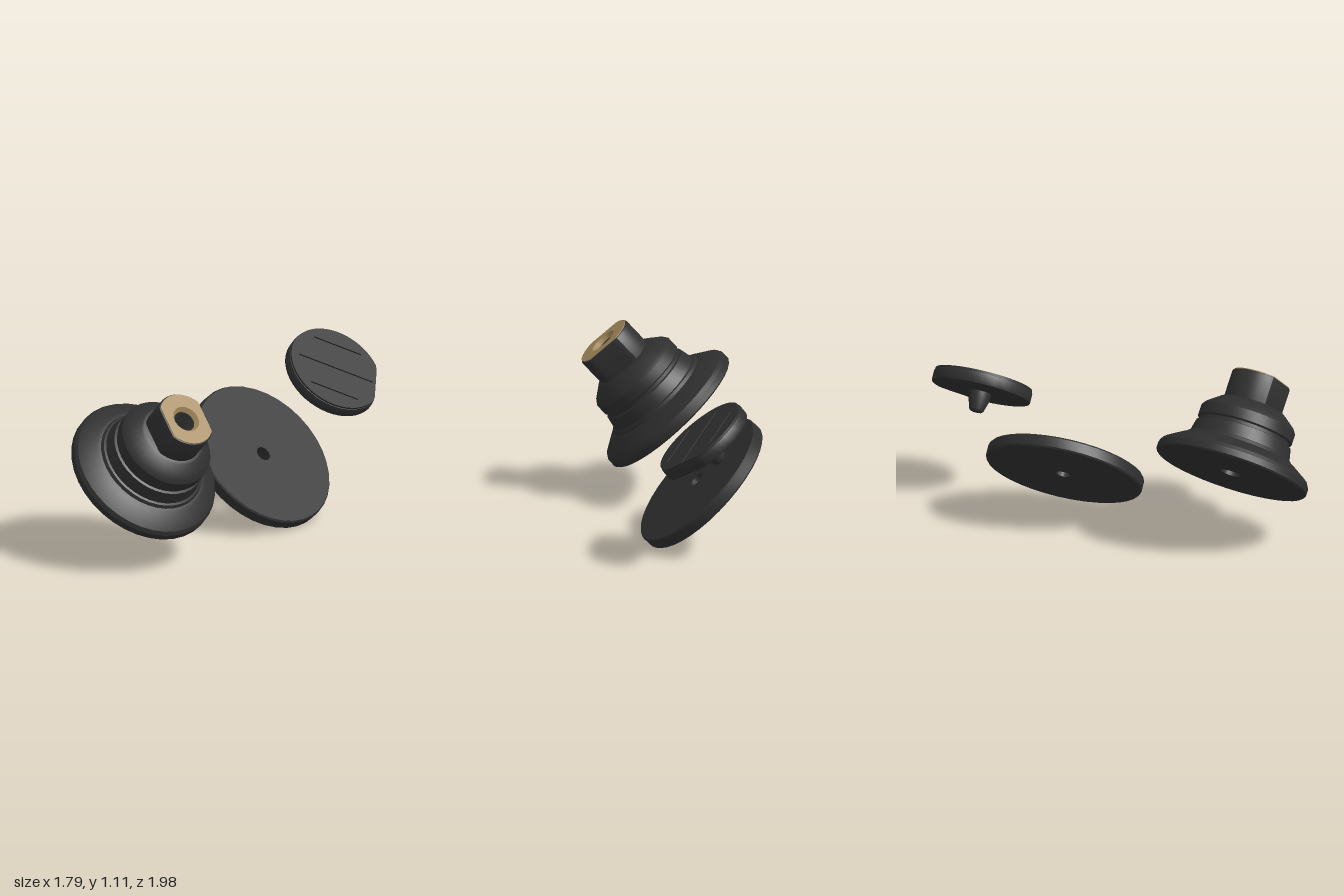
import * as THREE from 'three';
import { toCreasedNormals } from 'three/addons/utils/BufferGeometryUtils.js';

const rubber = new THREE.MeshStandardMaterial({ color: 0x2f2f2f });
rubber.name = 'dark rubber';
const brass = new THREE.MeshStandardMaterial({ color: 0xa48a5c });
brass.name = 'brass';

function part(parent, name, geometry, material = rubber) {
  const mesh = new THREE.Mesh(toCreasedNormals(geometry, 0.45), material);
  mesh.name = name;
  parent.add(mesh);
  return mesh;
}

// Group at a position, its y along "up" and its x close to "side"
function tilted(name, position, up, side) {
  const y = new THREE.Vector3(...up).normalize();
  const x = new THREE.Vector3(...side);
  x.addScaledVector(y, -x.dot(y)).normalize();
  const z = new THREE.Vector3().crossVectors(x, y);
  const group = new THREE.Group();
  group.name = name;
  group.quaternion.setFromRotationMatrix(new THREE.Matrix4().makeBasis(x, y, z));
  group.position.set(...position);
  return group;
}

const lathe = (points, segments = 36) =>
  new THREE.LatheGeometry(points.map(([r, y]) => new THREE.Vector2(r, y)), segments);

// Circle with flats cut where x leaves the given range
function flatCircle(radius, minX, maxX, segments = 48) {
  const points = [];
  for (let i = 0; i < segments; i++) {
    const a = (i / segments) * Math.PI * 2;
    points.push(new THREE.Vector2(
      THREE.MathUtils.clamp(Math.cos(a) * radius, minX, maxX), Math.sin(a) * radius));
  }
  return new THREE.Shape(points);
}

function roundHole(radius) {
  return new THREE.Path().absarc(0, 0, radius, 0, Math.PI * 2, true);
}

// Upright extrusion from y = bottom to y = top
function extrude(shape, bottom, top, bevel = 0) {
  const geometry = new THREE.ExtrudeGeometry(shape, {
    depth: top - bottom - 2 * bevel, curveSegments: 14,
    bevelEnabled: bevel > 0, bevelThickness: bevel, bevelSize: bevel,
    bevelOffset: -bevel, bevelSegments: 2,
  });
  return geometry.translate(0, 0, bottom + bevel).rotateX(-Math.PI / 2);
}

// Stepped base with a flat-sided, brass-faced stem
function makeBase() {
  const base = tilted('steppedBase', [-0.48, 0.537, 0.53], [0.47, 0.74, 0.48], [0.77, -0.08, -0.63]);
  part(base, 'baseBody', lathe([
    [0, 0.1], [0.065, 0.1], [0.065, 0], [0.472, 0], [0.482, 0.01], [0.482, 0.05],
    [0.468, 0.075], [0.37, 0.14], [0.345, 0.145], [0.335, 0.165], [0.322, 0.17],
    [0.305, 0.25], [0.29, 0.255], [0.29, 0.275], [0.302, 0.285], [0.302, 0.35],
    [0.285, 0.375], [0.21, 0.435], [0.195, 0.44], [0, 0.44],
  ]));

  const stemShape = flatCircle(0.187, -0.153, 0.153);
  stemShape.holes.push(roundHole(0.088));
  part(base, 'stem', extrude(stemShape, 0.4, 0.622, 0.012));

  const faceShape = flatCircle(0.178, -0.143, 0.143);
  faceShape.holes.push(roundHole(0.088));
  part(base, 'stemFace', extrude(faceShape, 0.618, 0.626), brass);
  part(base, 'countersink', lathe([[0.088, 0.626], [0.068, 0.598]]), brass);

  // Threaded socket
  const thread = [[0.068, 0.598]];
  for (let i = 0; i < 5; i++) {
    const y = 0.59 - i * 0.026;
    thread.push([0.06, y - 0.006], [0.068, y - 0.018]);
  }
  thread.push([0.062, 0.45], [0, 0.45]);
  part(base, 'threadedSocket', lathe(thread, 28));
  return base;
}

// Flat pad with a centre hole
function makePad() {
  const pad = tilted('pad', [0.205, 0.38, -0.31], [0.572, 0.7, 0.427], [1, 0, 0]);
  part(pad, 'padDisc', lathe([
    [0.047, -0.04], [0.482, -0.04], [0.49, -0.03], [0.49, 0.03],
    [0.482, 0.04], [0.047, 0.04], [0.047, -0.04],
  ]));
  return pad;
}

// Grooved cap with a flat on its rim and a tapered peg below
function makeCap() {
  const cap = tilted('cap', [0.632, 0.805, -0.7], [0.47, 0.78, 0.41], [0.857, -0.458, -0.239]);
  part(cap, 'capDisc', extrude(flatCircle(0.31, -0.31, 0.278), -0.042, 0.03, 0.008));

  const top = flatCircle(0.305, -0.305, 0.273);
  for (const [offset, half] of [[-0.19, 0.16], [0, 0.25], [0.19, 0.16]]) {
    const w = 0.005;
    top.holes.push(new THREE.Path([
      new THREE.Vector2(-half, offset - w), new THREE.Vector2(-half, offset + w),
      new THREE.Vector2(half, offset + w), new THREE.Vector2(half, offset - w),
    ]));
  }
  part(cap, 'groovedTop', extrude(top, 0.028, 0.042));
  part(cap, 'peg', lathe([[0, -0.165], [0.035, -0.165], [0.045, -0.155], [0.065, -0.09], [0.065, -0.04]], 24));
  return cap;
}

export function createModel() {
  const model = new THREE.Group();
  model.name = 'fittingSet';
  model.add(makeBase(), makePad(), makeCap());
  return model;
}
